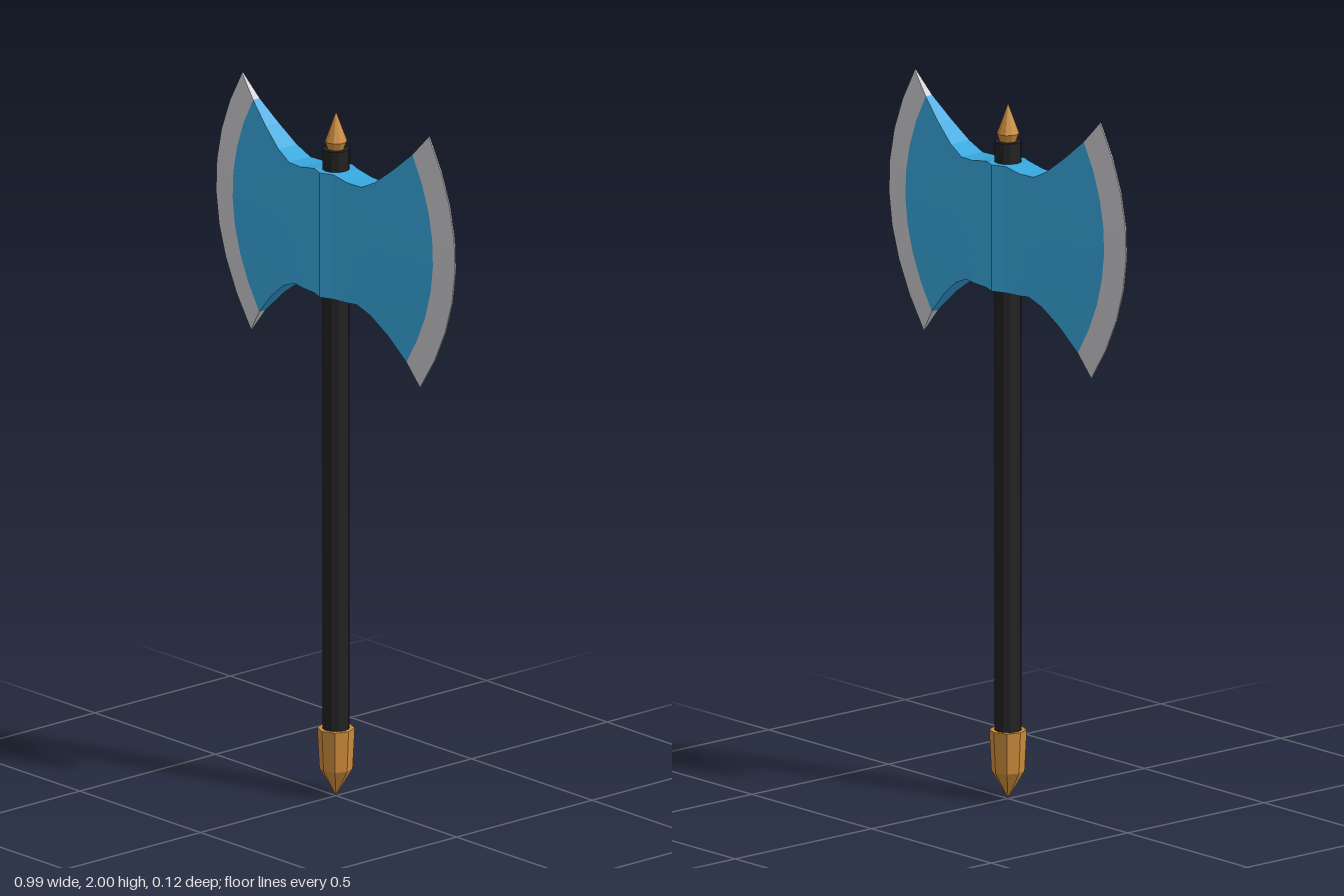
import * as THREE from 'three';

const mat = (name, color) => {
  const m = new THREE.MeshStandardMaterial({ color });
  m.name = name;
  return m;
};

// Blade columns: top x, top y, bottom x, bottom y, middle x, half thickness
const BLADE = [
  [0, 1.815, 0, 1.455, 0, 0.06],
  [0.04, 1.815, 0.04, 1.455, 0.04, 0.044],
  [0.1, 1.805, 0.09, 1.457, 0.1, 0.043],
  [0.15, 1.805, 0.13, 1.46, 0.17, 0.039],
  [0.2, 1.83, 0.18, 1.44, 0.23, 0.034],
  [0.265, 1.88, 0.24, 1.395, 0.32, 0.024],
  [0.33, 1.937, 0.305, 1.33, 0.415, 0.012],
  [0.387, 2.0, 0.35, 1.265, 0.495, 0.002],
];
const ROWS = 8;

// Point on a column, row 0 at the top; the column bows outwards in the middle
function bladePoint(column, row, side, face) {
  const [xt, yt, xb, yb, xm, z] = column;
  const t = row / ROWS;
  const bow = (xm - (xt + xb) / 2) * 4 * t * (1 - t);
  return [side * (xt + (xb - xt) * t + bow), yt + (yb - yt) * t, face * z];
}

// Closed strip of blade between two columns
function bladeGeometry(from, to, side, closeEnd) {
  const pos = [];
  const quad = (a, b, c, d, flip) => {
    const q = flip ? [a, d, c, a, c, b] : [a, b, c, a, c, d];
    q.forEach((p) => pos.push(...p));
  };
  for (let i = from; i < to; i++) {
    const P = (c, r, f) => bladePoint(BLADE[c], r, side, f);
    // front and back faces
    for (const f of [1, -1]) {
      for (let r = 0; r < ROWS; r++) {
        quad(P(i, r, f), P(i, r + 1, f), P(i + 1, r + 1, f), P(i + 1, r, f), side * f < 0);
      }
    }
    // upper and lower rims
    quad(P(i, 0, 1), P(i + 1, 0, 1), P(i + 1, 0, -1), P(i, 0, -1), side < 0);
    quad(P(i, ROWS, 1), P(i, ROWS, -1), P(i + 1, ROWS, -1), P(i + 1, ROWS, 1), side < 0);
  }
  // thin cutting edge
  if (closeEnd) {
    const E = (r, f) => bladePoint(BLADE[to], r, side, f);
    for (let r = 0; r < ROWS; r++) {
      quad(E(r, 1), E(r + 1, 1), E(r + 1, -1), E(r, -1), side < 0);
    }
  }
  const g = new THREE.BufferGeometry();
  g.setAttribute('position', new THREE.Float32BufferAttribute(pos, 3));
  g.computeVertexNormals();
  return g;
}

// Faceted turned part, profile listed from bottom to top
function turned(profile, sides) {
  const points = profile.map(([r, y]) => new THREE.Vector2(r, y));
  const g = new THREE.LatheGeometry(points, sides).toNonIndexed();
  g.computeVertexNormals();
  return g;
}

export function createModel() {
  const group = new THREE.Group();
  group.name = 'doubleAxe';
  const blue = mat('blue', 0x37a6dc);
  const steel = mat('steel', 0xcacacf);
  const black = mat('black', 0x212121);
  const gold = mat('gold', 0xcb8b3b);

  const add = (name, geometry, material) => {
    const mesh = new THREE.Mesh(geometry, material);
    mesh.name = name;
    group.add(mesh);
  };

  // Shaft with gold ends
  add('shaft', turned([[0, 0.15], [0.038, 0.15], [0.038, 1.873], [0, 1.873]], 12), black);
  add('pommel', turned([[0, 0], [0.046, 0.08], [0.052, 0.197], [0, 0.197]], 8), gold);
  add('finial', turned([[0, 1.87], [0.022, 1.87], [0.031, 1.895], [0, 1.98]], 10), gold);

  // Mirrored axe heads
  for (const side of [1, -1]) {
    const label = side > 0 ? 'left' : 'right';
    add(label + 'Blade', bladeGeometry(0, 6, side, false), blue);
    add(label + 'CuttingEdge', bladeGeometry(6, 7, side, true), steel);
  }
  return group;
}
